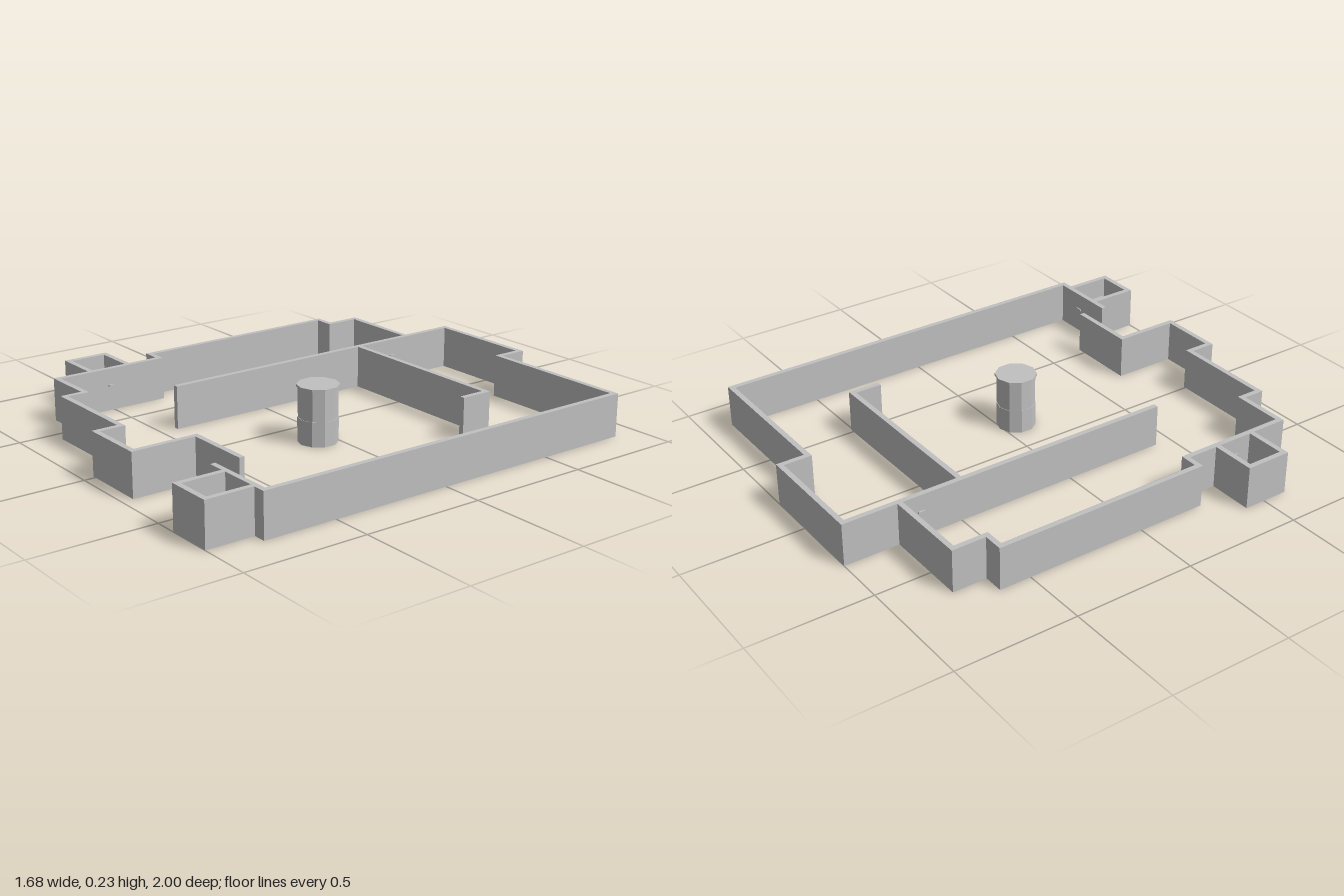
import * as THREE from 'three';

const WALL_HEIGHT = 0.176;
const HALF = 0.011; // half the wall thickness

// Mitred footprint along a right-angled centre line of [x, z] points
function footprint(path, half) {
  const pts = path.map(([x, z]) => new THREE.Vector2(x, -z));
  const normal = i => {
    const d = pts[i + 1].clone().sub(pts[i]).normalize();
    return new THREE.Vector2(-d.y, d.x);
  };
  const left = [], right = [];
  pts.forEach((p, i) => {
    const n = new THREE.Vector2();
    if (i > 0) n.add(normal(i - 1));
    if (i < pts.length - 1) n.add(normal(i));
    n.multiplyScalar(half);
    left.push(p.clone().add(n));
    right.push(p.clone().sub(n));
  });
  return new THREE.Shape([...left, ...right.reverse()]);
}

export function createModel() {
  const model = new THREE.Group();
  model.name = 'floorPlan';
  const grey = new THREE.MeshStandardMaterial({ color: 0xc0c0c0 });
  grey.name = 'plainGrey';

  function add(name, geometry, x = 0, y = 0, z = 0) {
    const mesh = new THREE.Mesh(geometry, grey);
    mesh.name = name;
    mesh.position.set(x, y, z);
    model.add(mesh);
    return mesh;
  }

  function run(name, path, height = WALL_HEIGHT, half = HALF, y = 0) {
    const geometry = new THREE.ExtrudeGeometry(footprint(path, half), { depth: height, bevelEnabled: false });
    geometry.rotateX(-Math.PI / 2);
    add(name, geometry, 0, y, 0);
  }

  // Outer and dividing walls
  run('mainWall', [[0.525, 0.792], [0.825, 0.792], [0.825, -0.872], [0.188, -0.872],
    [0.188, -0.989], [-0.278, -0.989], [-0.278, 0.427]]);
  run('sideWall', [[-0.289, -0.76], [-0.632, -0.76], [-0.632, -0.619], [-0.715, -0.619],
    [-0.715, 0.273], [-0.642, 0.273], [-0.642, 0.748], [-0.425, 0.748], [-0.425, 0.837],
    [-0.003, 0.837], [-0.003, 0.943], [0.251, 0.943], [0.251, 0.678], [0.535, 0.678]]);
  run('innerWall', [[-0.267, -0.496], [0.506, -0.496], [0.506, -0.372]]);

  // Small square rooms
  run('leftRoom', [[-0.653, 0.423], [-0.829, 0.423], [-0.829, 0.594], [-0.653, 0.594]]);
  run('frontRoom', [[0.605, 0.803], [0.605, 0.989], [0.774, 0.989], [0.774, 0.803]]);

  // Thin rails in the rooms
  run('leftRoomRail', [[-0.814, 0.45], [-0.814, 0.58], [-0.72, 0.58]], 0.01, 0.004, 0.08);
  run('frontRoomRail', [[0.64, 0.964], [0.759, 0.964], [0.759, 0.872]], 0.01, 0.004, 0.08);

  // Small handles through the walls
  for (const [x, z, turn] of [[-0.278, -0.674, 0], [-0.642, 0.511, 0], [0.69, 0.793, Math.PI / 2]]) {
    const handle = add('wallHandle', new THREE.BoxGeometry(0.036, 0.008, 0.026), x, 0.105, z);
    handle.rotation.y = turn;
  }

  // Ten-sided drum with a slightly wider lid
  function drum(name, radius, bottom, top) {
    const geometry = new THREE.CylinderGeometry(radius, radius, top - bottom, 10).toNonIndexed();
    geometry.computeVertexNormals();
    add(name, geometry, 0.175, (top + bottom) / 2, 0.07);
  }
  drum('drumBase', 0.08, 0, 0.1);
  drum('drumBody', 0.078, 0.1, 0.222);
  drum('drumLid', 0.085, 0.222, 0.232);

  return model;
}
